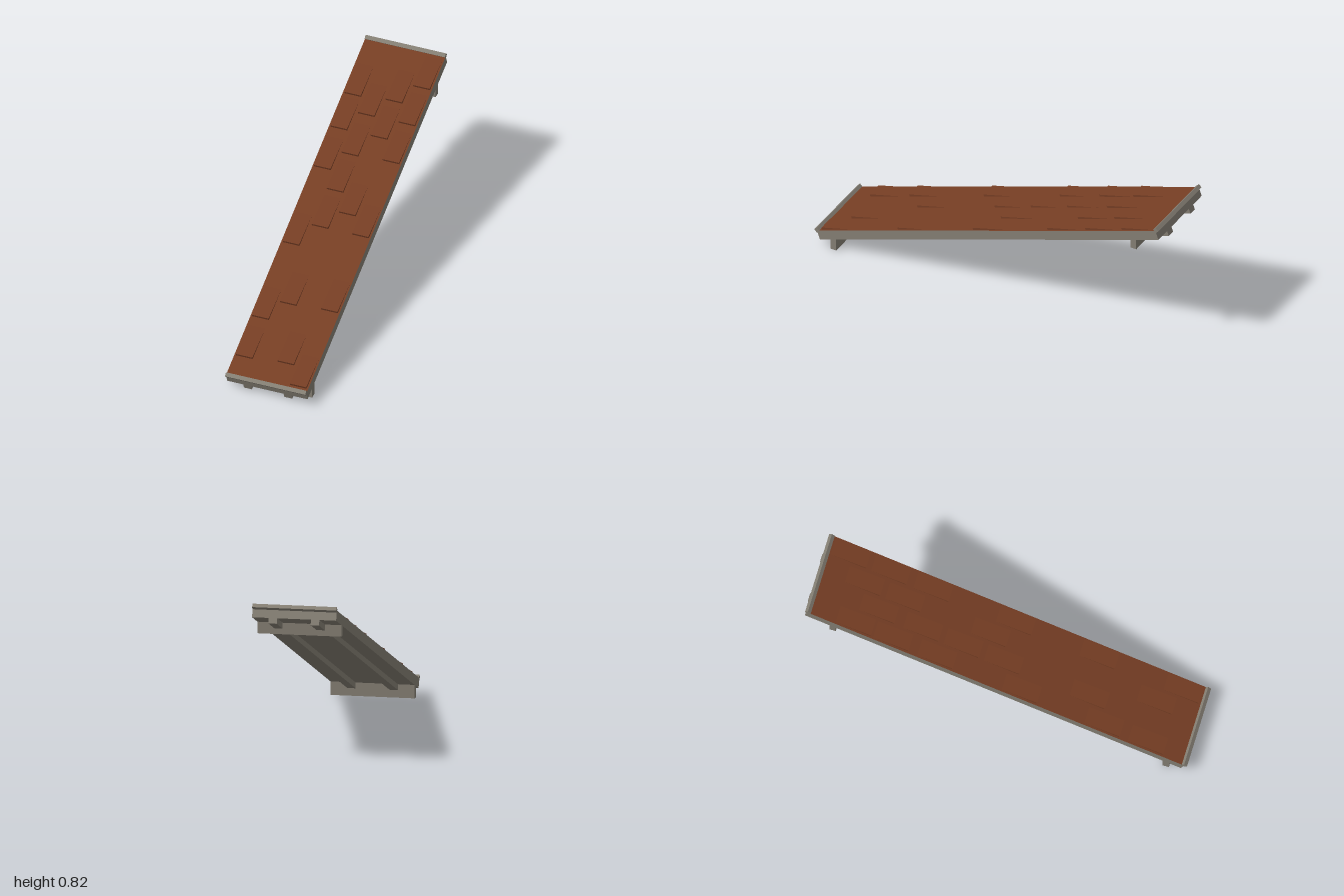
import * as THREE from 'three';

export function createModel() {
  const model = new THREE.Group();
  model.name = 'slopedRoof';

  const wood = new THREE.MeshStandardMaterial({ color: 0x763e24 });
  wood.name = 'reddish brown shingle';
  const stone = new THREE.MeshStandardMaterial({ color: 0x857f74 });
  stone.name = 'warm grey';

  const WIDTH = 0.43, ANGLE = 0.3545, LENGTH = 2.088;
  const SLAB = 0.052, RAIL = 0.028;

  function box(name, parent, w, h, d, x, y, z, material = stone) {
    const mesh = new THREE.Mesh(new THREE.BoxGeometry(w, h, d), material);
    mesh.name = name;
    mesh.position.set(x, y, z);
    parent.add(mesh);
    return mesh;
  }

  // Everything on the slope: local y = 0 is the roof surface, +z runs downhill
  const slope = new THREE.Group();
  slope.name = 'slope';
  slope.position.set(0, 0.445, 0.006);
  slope.rotation.x = ANGLE;
  model.add(slope);

  // Slab with a brown upper face
  box('slab', slope, WIDTH, SLAB, LENGTH, 0, -SLAB / 2, 0,
    [stone, stone, wood, stone, stone, stone]);

  // Two rails along the underside
  for (const side of [-1, 1]) {
    box(side > 0 ? 'leftRail' : 'rightRail', slope, 0.043, RAIL, LENGTH,
      side * 0.108, -SLAB - RAIL / 2, 0);
  }

  // Raised shingles: wedges that sink into the surface uphill
  const tileW = 0.088, tileH = 0.012, tileL = 0.19;
  const profile = new THREE.Shape([
    new THREE.Vector2(0, -0.005),
    new THREE.Vector2(0, tileH),
    new THREE.Vector2(-tileL, 0),
    new THREE.Vector2(-tileL, -0.005),
  ]);
  const tileGeometry = new THREE.ExtrudeGeometry(profile, { depth: tileW, bevelEnabled: false });
  tileGeometry.translate(0, 0, -tileW / 2);
  tileGeometry.rotateY(-Math.PI / 2);

  // Lower edge of every shingle, column by column
  const columns = [
    [-0.161, [-0.65, -0.455, -0.225, 0.215, 0.645, 0.872]],
    [-0.054, [-0.56, -0.33, -0.12, 0.09, 0.537]],
    [0.054, [-0.665, -0.455, -0.01, 0.855]],
    [0.162, [-0.77, -0.56, -0.34, 0.09, 0.525, 0.963]],
  ];
  const shingles = new THREE.Group();
  shingles.name = 'shingles';
  slope.add(shingles);
  for (const [x, edges] of columns) {
    for (const z of edges) {
      const tile = new THREE.Mesh(tileGeometry, wood);
      tile.name = 'shingle';
      tile.position.set(x, 0, (z - 0.01) / Math.cos(ANGLE));
      shingles.add(tile);
    }
  }

  // Square edge strips set on their corners at the eave and the ridge
  const strip = 0.0212;
  box('eaveStrip', model, WIDTH, strip, strip, 0, 0.085, 0.985).rotation.x = Math.PI / 4;
  box('ridgeStrip', model, WIDTH, strip, strip, 0, 0.81, -0.975).rotation.x = Math.PI / 4;

  // Upright cross beams below both ends
  box('frontBeam', model, WIDTH, 0.07, 0.032, 0, 0.035, 0.889);
  box('backBeam', model, WIDTH, 0.07, 0.032, 0, 0.687, -0.846);

  return model;
}
